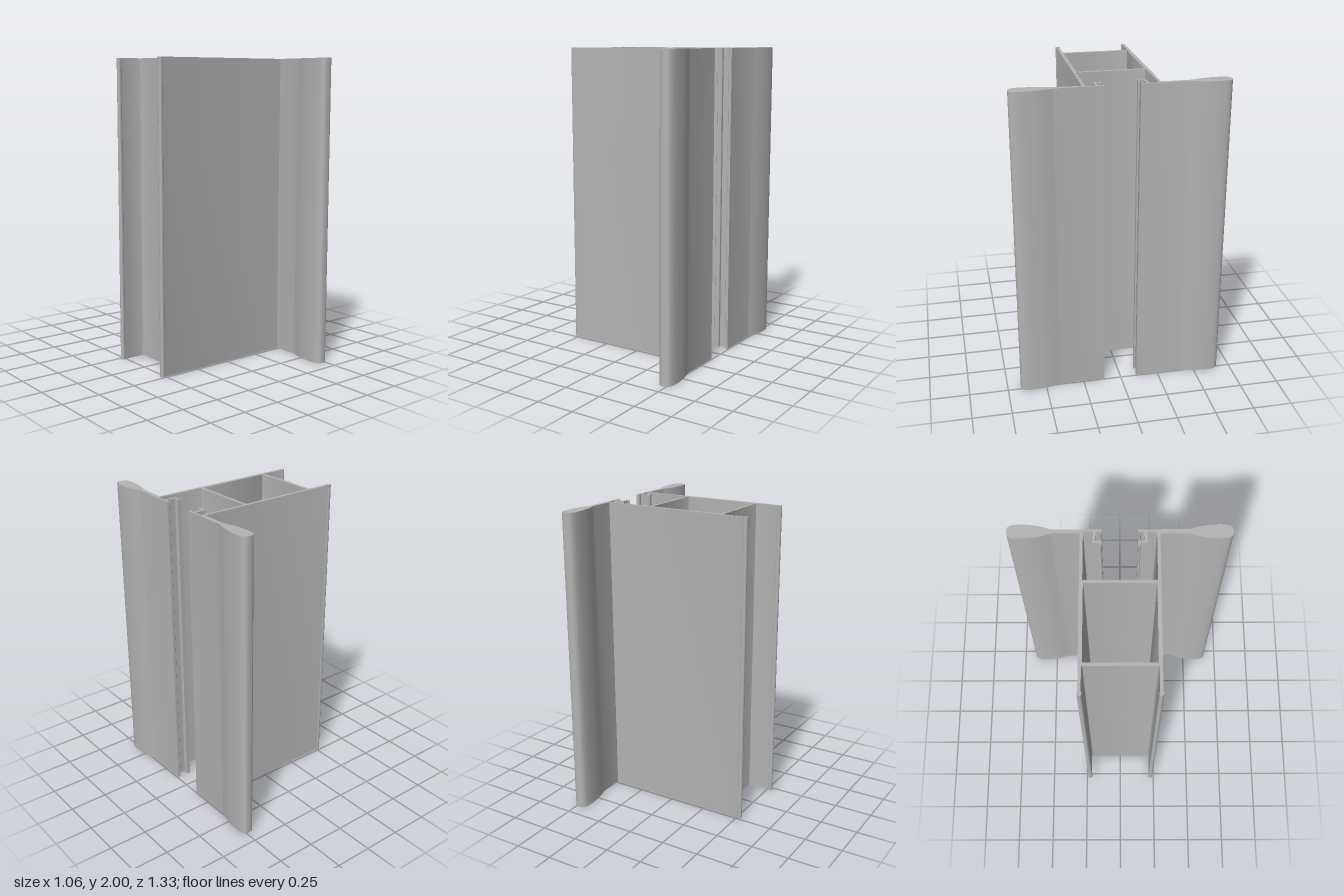
import * as THREE from 'three';
import { toCreasedNormals } from 'three/addons/utils/BufferGeometryUtils.js';

const HEIGHT = 2;

// Extrude a plan outline (x, z) upwards from y = 0
function extrudeUp(shape) {
  const geo = new THREE.ExtrudeGeometry(shape, { depth: HEIGHT, bevelEnabled: false, curveSegments: 12 });
  geo.rotateX(-Math.PI / 2);
  return toCreasedNormals(geo, 0.6);
}

// Half outline of the bulb on the flange: [half width, z]
const bulbSide = [
  [0.014, 0.405], [0.023, 0.435], [0.034, 0.475], [0.042, 0.52], [0.046, 0.565],
  [0.0465, 0.595], [0.044, 0.625], [0.037, 0.648], [0.022, 0.663], [0, 0.666],
];

// Side wall, flange, bulb and clip lip as one continuous section; side is +1 or -1 along z
function sideSection(side) {
  const pts = [];
  const add = (...list) => list.forEach(([x, z]) => pts.push(new THREE.Vector2(x, -side * z)));

  // Inner face of the wall, thicker between the two webs
  add([-0.506, 0.217], [-0.358, 0.217], [-0.35, 0.213], [0.158, 0.213], [0.166, 0.217], [0.479, 0.217]);
  // Clip lip: arm, hook and the small foot at the flange end
  add([0.479, 0.159], [0.405, 0.159], [0.405, 0.122], [0.394, 0.122], [0.389, 0.115], [0.394, 0.108],
    [0.42, 0.108], [0.424, 0.112], [0.424, 0.118], [0.416, 0.124], [0.416, 0.143], [0.479, 0.143],
    [0.479, 0.124], [0.471, 0.119], [0.471, 0.112], [0.475, 0.108], [0.493, 0.108]);
  // Bulb, up one side and down the other
  const curve = new THREE.SplineCurve(bulbSide.map(([w, z]) => new THREE.Vector2(w, z)));
  const samples = curve.getPoints(36);
  samples.forEach((p) => add([0.479 + p.x, p.y]));
  samples.slice(0, -1).reverse().forEach((p) => add([0.479 - p.x, p.y]));
  // Outer face of the wall
  add([0.465, 0.236], [-0.506, 0.236]);
  // Rounded bead on the free edge
  for (let i = 0; i <= 14; i++) {
    const a = 0.7 + (i / 14) * (Math.PI * 2 - 1.4);
    add([-0.517 + 0.0145 * Math.cos(a), 0.2265 + 0.0145 * Math.sin(a)]);
  }
  return new THREE.Shape(pts);
}

// Web joining the two walls, with small fillets at its ends
function webSection(x) {
  const w = 0.01, end = 0.213, f = 0.008;
  const shape = new THREE.Shape();
  shape.moveTo(x - w - f, -end);
  shape.quadraticCurveTo(x - w, -end, x - w, -end + f);
  shape.lineTo(x - w, end - f);
  shape.quadraticCurveTo(x - w, end, x - w - f, end);
  shape.lineTo(x + w + f, end);
  shape.quadraticCurveTo(x + w, end, x + w, end - f);
  shape.lineTo(x + w, -end + f);
  shape.quadraticCurveTo(x + w, -end, x + w + f, -end);
  return shape;
}

export function createModel() {
  const group = new THREE.Group();
  group.name = 'extrudedFrameProfile';
  const aluminium = new THREE.MeshStandardMaterial({ color: 0xb3b3b3 });
  aluminium.name = 'aluminium grey';

  const addPart = (name, shape) => {
    const mesh = new THREE.Mesh(extrudeUp(shape), aluminium);
    mesh.name = name;
    group.add(mesh);
  };

  addPart('frontWallAndFlange', sideSection(1));
  addPart('backWallAndFlange', sideSection(-1));
  addPart('outerWeb', webSection(-0.348));
  addPart('innerWeb', webSection(0.156));
  return group;
}
